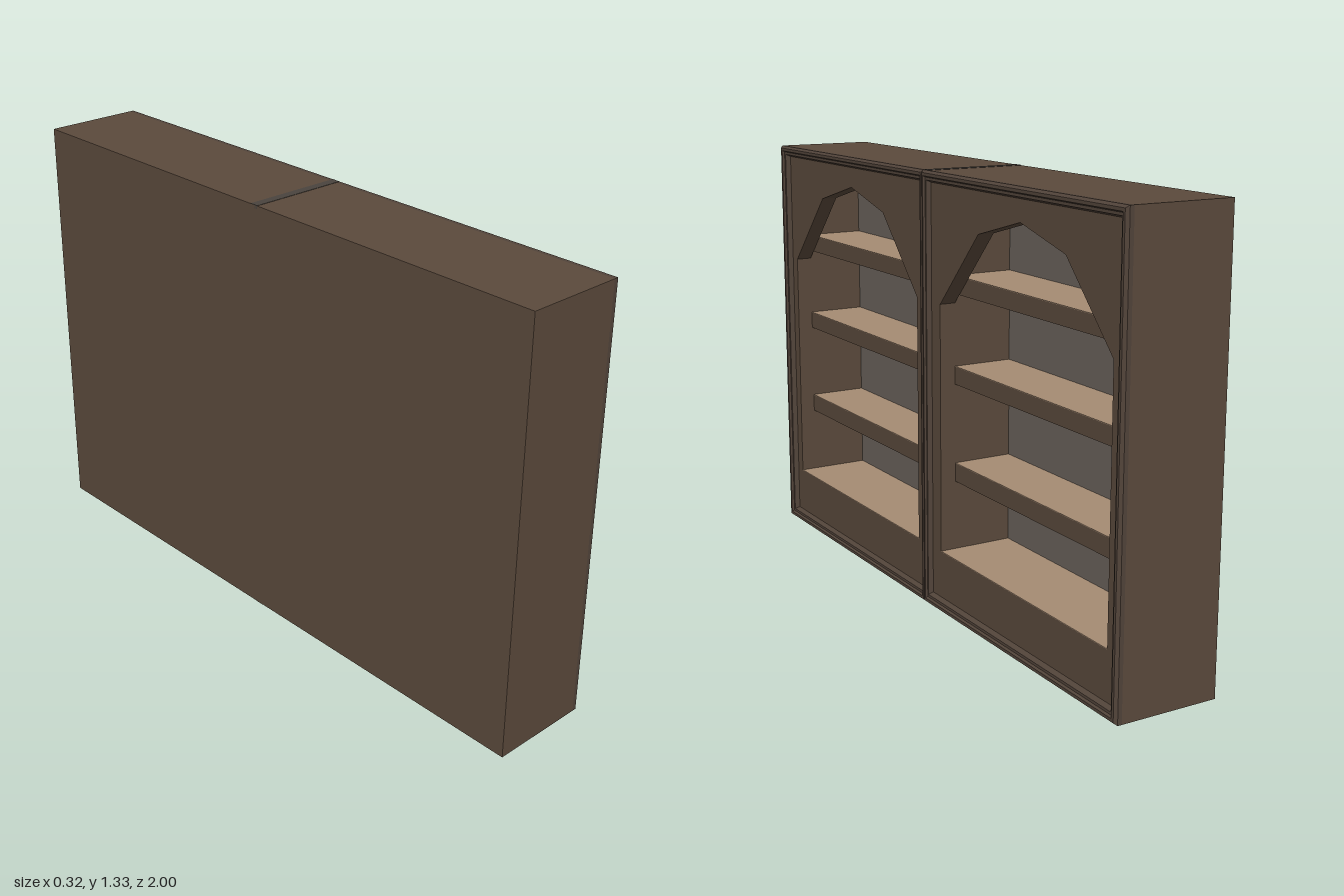
import * as THREE from 'three';

const H = 1.325, BACK = -0.163, INNER_BACK = -0.1, FACE_BACK = 0.09, FACE = 0.14;
const mat = (color) => new THREE.MeshStandardMaterial({ color, flatShading: true });
const wood = mat(0x5b4a3c), trimWood = mat(0x52443a), shelfTop = mat(0xa58b73);
const backing = mat(0x6a625c), seam = mat(0x4a443e);

function add(parent, name, geometry, material) {
  const mesh = new THREE.Mesh(geometry, material);
  mesh.name = name;
  parent.add(mesh);
}

// Box given by its limits on each axis
function block(x0, x1, y0, y1, z0, z1) {
  return new THREE.BoxGeometry(x1 - x0, y1 - y0, z1 - z0)
    .translate((x0 + x1) / 2, (y0 + y1) / 2, (z0 + z1) / 2);
}

// Upright rectangle with a hole, extruded along x from x0 to x1
function holedSlab(holePoints, x0, x1) {
  const points = [[-0.5, 0], [0.5, 0], [0.5, H], [-0.5, H]].map(([u, v]) => new THREE.Vector2(u, v));
  const shape = new THREE.Shape(points);
  shape.holes.push(new THREE.Path(holePoints.map(([u, v]) => new THREE.Vector2(u, v))));
  return new THREE.ExtrudeGeometry(shape, { depth: x1 - x0, bevelEnabled: false })
    .rotateY(Math.PI / 2).translate(x0, 0, 0);
}

// Moulded rectangular rim; its side next to the divider is narrower
function rim(side) {
  const profile = [[0, FACE], [0, 0.153], [0.007, 0.162], [0.016, 0.162], [0.02, 0.155], [0.028, 0.155], [0.035, FACE]];
  const low = side > 0 ? 0.57 : 1, high = side > 0 ? 1 : 0.57;
  const loops = profile.map(([d, x]) => {
    const z0 = -0.5 + d * low, z1 = 0.5 - d * high;
    return [[x, d, z0], [x, H - d, z0], [x, H - d, z1], [x, d, z1]];
  });
  const positions = [];
  for (let i = 0; i < loops.length - 1; i++) {
    for (let k = 0; k < 4; k++) {
      const n = (k + 1) % 4;
      const a = loops[i][k], b = loops[i][n], c = loops[i + 1][n], d = loops[i + 1][k];
      positions.push(...a, ...b, ...c, ...a, ...c, ...d);
    }
  }
  const geometry = new THREE.BufferGeometry();
  geometry.setAttribute('position', new THREE.Float32BufferAttribute(positions, 3));
  geometry.computeVertexNormals();
  return geometry;
}

function bookcase(side) {
  const unit = new THREE.Group();
  unit.name = side > 0 ? 'leftBookcase' : 'rightBookcase';
  unit.position.z = side * 0.5;
  const w = 0.43;

  // Carcass with a deep rectangular recess
  add(unit, 'backBoard', block(BACK, INNER_BACK, 0, H, -0.5, 0.5), wood);
  add(unit, 'carcass', holedSlab([[-w, 0.18], [-w, 1.26], [w, 1.26], [w, 0.18]], INNER_BACK, FACE_BACK), wood);
  add(unit, 'backLining', block(INNER_BACK, INNER_BACK + 0.002, 0.18, 1.26, -w, w), backing);

  // Face panel with an angular arch
  const arch = [[-w, 0.18], [-w, 0.94], [-0.215, 1.17], [0, 1.227], [0.215, 1.17], [w, 0.94], [w, 0.18]];
  add(unit, 'archedFace', holedSlab(arch, FACE_BACK, FACE), wood);
  add(unit, 'rim', rim(side), trimWood);

  // Shelves with paler upper surfaces
  for (const [y0, y1] of [[0.395, 0.453], [0.695, 0.75], [0.967, 1.022]]) {
    add(unit, 'shelf', block(INNER_BACK, FACE_BACK, y0, y1 - 0.002, -w, w), wood);
    add(unit, 'shelfTop', block(INNER_BACK, FACE_BACK, y1 - 0.002, y1, -w, w), shelfTop);
  }
  add(unit, 'floorTop', block(INNER_BACK, FACE, 0.18, 0.182, -w, w), shelfTop);
  return unit;
}

export function createModel() {
  const model = new THREE.Group();
  model.name = 'doubleBookcase';
  model.add(bookcase(1), bookcase(-1));

  // Joint strips between the two units
  add(model, 'topSeam', block(BACK, 0.152, H - 0.01, H + 0.001, -0.028, 0), seam);
  add(model, 'bottomSeam', block(BACK, 0.152, -0.001, 0.01, -0.028, 0), seam);
  return model;
}
